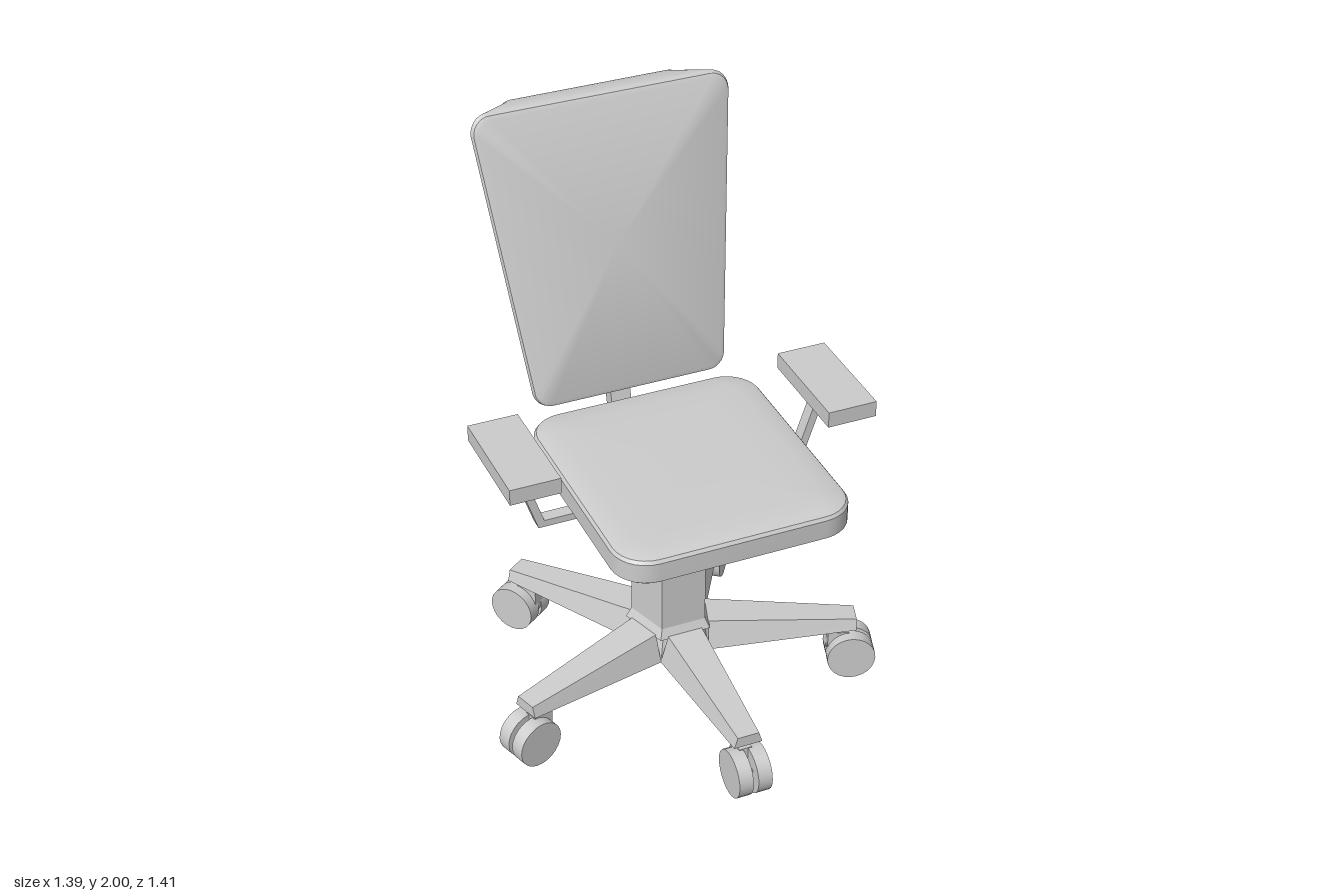
import * as THREE from 'three';
import { toCreasedNormals } from 'three/addons/utils/BufferGeometryUtils.js';

const material = new THREE.MeshStandardMaterial({ color: 0xcccccc });

function add(parent, name, geometry, x = 0, y = 0, z = 0) {
  const mesh = new THREE.Mesh(geometry, material);
  mesh.name = name;
  mesh.position.set(x, y, z);
  parent.add(mesh);
  return mesh;
}

// Rounded trapezoid, counter-clockwise: half widths at bottom and top, y range, corner radius
function outline({ wb, wt, y0, y1, r, inset = 0 }) {
  const points = [], steps = 7;
  const rad = Math.max(r - inset, 0.03);
  const corners = [[1, 1, wt, y1], [-1, 1, wt, y1], [-1, -1, wb, y0], [1, -1, wb, y0]];
  corners.forEach(([sx, sy, w, y], k) => {
    const cx = sx * (w - inset - rad), cy = y - sy * (inset + rad);
    for (let i = 0; i <= steps; i++) {
      const a = (k + i / steps) * Math.PI / 2;
      points.push([cx + rad * Math.cos(a), cy + rad * Math.sin(a)]);
    }
  });
  return points;
}

// Skin over outlines stacked along z, closed at both ends
function cushion(layers) {
  const rings = layers.map(outline), n = rings[0].length;
  const positions = [], index = [];
  rings.forEach((ring, k) => ring.forEach(([x, y]) => positions.push(x, y, layers[k].z)));
  for (let k = 0; k < rings.length - 1; k++) {
    for (let i = 0; i < n; i++) {
      const a = k * n + i, b = k * n + (i + 1) % n;
      index.push(a, b, b + n, a, b + n, a + n);
    }
  }
  const last = (rings.length - 1) * n;
  [0, last].forEach((start, end) => {
    const layer = layers[end ? layers.length - 1 : 0];
    const centre = positions.length / 3;
    positions.push(0, (layer.y0 + layer.y1) / 2, layer.z);
    for (let i = 0; i < n; i++) {
      const a = start + i, b = start + (i + 1) % n;
      index.push(centre, end ? a : b, end ? b : a);
    }
  });
  const geometry = new THREE.BufferGeometry();
  geometry.setAttribute('position', new THREE.Float32BufferAttribute(positions, 3));
  geometry.setIndex(index);
  return geometry;
}

// Flat bar cut from a polygon, centred on its depth
function bar(points, depth) {
  const shape = new THREE.Shape(points.map(([x, y]) => new THREE.Vector2(x, y)));
  return new THREE.ExtrudeGeometry(shape, { depth, bevelEnabled: false }).translate(0, 0, -depth / 2);
}

// Five-sided post section with corners between the legs
function post(rTop, rBottom, y0, y1) {
  const g = new THREE.CylinderGeometry(rTop, rBottom, y1 - y0, 5, 1, false, Math.PI / 5);
  return toCreasedNormals(g.translate(0, (y0 + y1) / 2, 0), 0.3);
}

// Leg tapering in width and height towards its tip
function legGeometry() {
  const g = new THREE.BoxGeometry(1, 1, 1);
  const p = g.attributes.position;
  for (let i = 0; i < p.count; i++) {
    const outer = p.getZ(i) > 0, top = p.getY(i) > 0, side = Math.sign(p.getX(i));
    const half = outer ? (top ? 0.038 : 0.05) : (top ? 0.062 : 0.09);
    const y = outer ? (top ? 0.245 : 0.205) : (top ? 0.292 : 0.19);
    p.setXYZ(i, side * half, y, outer ? 0.64 : 0.122);
  }
  g.computeVertexNormals();
  return g;
}

function buildBase(chair) {
  const base = new THREE.Group();
  base.name = 'base';
  chair.add(base);

  // Hub and pedestal
  add(base, 'hub', post(0.11, 0.151, 0.19, 0.292));
  add(base, 'pedestalFoot', post(0.135, 0.155, 0.285, 0.32));
  add(base, 'pedestal', post(0.135, 0.135, 0.32, 0.575));
  add(base, 'pedestalCap', post(0.122, 0.135, 0.575, 0.605));
  add(base, 'column', post(0.046, 0.046, 0.6, 0.86));

  // Legs with twin-wheel casters
  const leg = legGeometry();
  const wheel = toCreasedNormals(new THREE.CylinderGeometry(0.084, 0.084, 0.05, 24).rotateZ(Math.PI / 2), 0.6);
  for (let i = 0; i < 5; i++) {
    const spoke = new THREE.Group();
    spoke.name = 'legWithCaster';
    spoke.rotation.y = i * Math.PI * 2 / 5;
    base.add(spoke);
    add(spoke, 'leg', leg);
    add(spoke, 'casterStem', new THREE.CylinderGeometry(0.015, 0.015, 0.1, 10), 0, 0.18, 0.57);
    add(spoke, 'casterFork', new THREE.BoxGeometry(0.045, 0.09, 0.075), 0, 0.13, 0.583);
    add(spoke, 'casterAxle', new THREE.BoxGeometry(0.03, 0.04, 0.08), 0, 0.09, 0.62);
    for (const side of [-1, 1]) add(spoke, 'wheel', wheel, side * 0.034, 0.088, 0.625);
  }
}

function buildSeat(chair) {
  const seat = new THREE.Group();
  seat.name = 'seat';
  chair.add(seat);

  // Cushion with rolled edges and a slightly domed top
  const plan = { wb: 0.404, wt: 0.404, y0: -0.578, y1: 0.305, r: 0.12 };
  const levels = [[0.91, 0.012], [0.92, 0], [0.988, 0], [0.999, 0.008], [1.006, 0.03], [1.011, 0.08], [1.014, 0.16]];
  const cushionGeometry = cushion(levels.map(([z, inset]) => ({ ...plan, z, inset })));
  add(seat, 'seatCushion', toCreasedNormals(cushionGeometry.rotateX(-Math.PI / 2), 0.6));

  // Under-seat plate and tilt mechanism
  const plate = { wb: 0.32, wt: 0.32, y0: -0.387, y1: 0.113, r: 0.08 };
  const plateGeometry = cushion([{ ...plate, z: 0.885 }, { ...plate, z: 0.915 }]);
  add(seat, 'seatPlate', toCreasedNormals(plateGeometry.rotateX(-Math.PI / 2), 0.6));
  add(seat, 'mechanism', new THREE.BoxGeometry(0.4, 0.04, 0.25), 0, 0.868, -0.03);
}

function buildBackrest(chair) {
  const back = new THREE.Group();
  back.name = 'backrest';
  chair.add(back);

  // Cushion: wide flared front, narrower rear, leaning backwards
  const rear = { wb: 0.305, wt: 0.335, y0: 0.985, y1: 1.985, r: 0.06 };
  const front = { wb: 0.35, wt: 0.45, y0: 1.005, y1: 2.0, r: 0.065 };
  const geometry = cushion([
    { ...rear, z: -0.125, inset: 0.02 },
    { ...rear, z: -0.115, inset: 0.005 },
    { ...rear, z: -0.1 },
    { ...front, z: -0.02 },
    { ...front, z: -0.006, inset: 0.006 },
    { ...front, z: 0, inset: 0.02 },
  ]);
  const p = geometry.attributes.position;
  for (let i = 0; i < p.count; i++) p.setZ(i, p.getZ(i) - 0.325 - 0.25 * (p.getY(i) - 1));
  add(back, 'backCushion', toCreasedNormals(geometry, 0.6));

  // Bent support running from under the seat up the rear
  const support = bar([[0, 0.845], [-0.47, 0.845], [-0.665, 1.555], [-0.59, 1.555], [-0.43, 0.89], [0, 0.89]], 0.072);
  add(back, 'backSupport', support.rotateY(-Math.PI / 2));
}

function buildArmrests(chair) {
  const arms = new THREE.Group();
  arms.name = 'armrests';
  chair.add(arms);

  // One bent strap carries both pads
  const half = [[0.472, 0.787], [0.567, 1.07], [0.537, 1.07], [0.451, 0.812]];
  const mirrored = half.map(([x, y]) => [-x, y]).reverse();
  add(arms, 'armStrap', bar([...half, ...mirrored], 0.046), 0, 0, -0.02);
  for (const side of [-1, 1]) {
    add(arms, side > 0 ? 'leftArmPad' : 'rightArmPad', new THREE.BoxGeometry(0.173, 0.057, 0.39), side * 0.5525, 1.092, 0.015);
  }
}

export function createModel() {
  const model = new THREE.Group();
  model.name = 'officeChair';
  const chair = new THREE.Group();
  chair.name = 'chair';
  chair.position.set(0.013, 0, 0.045);
  chair.rotation.y = -Math.PI / 6;
  model.add(chair);
  buildBase(chair);
  buildSeat(chair);
  buildBackrest(chair);
  buildArmrests(chair);
  return model;
}
